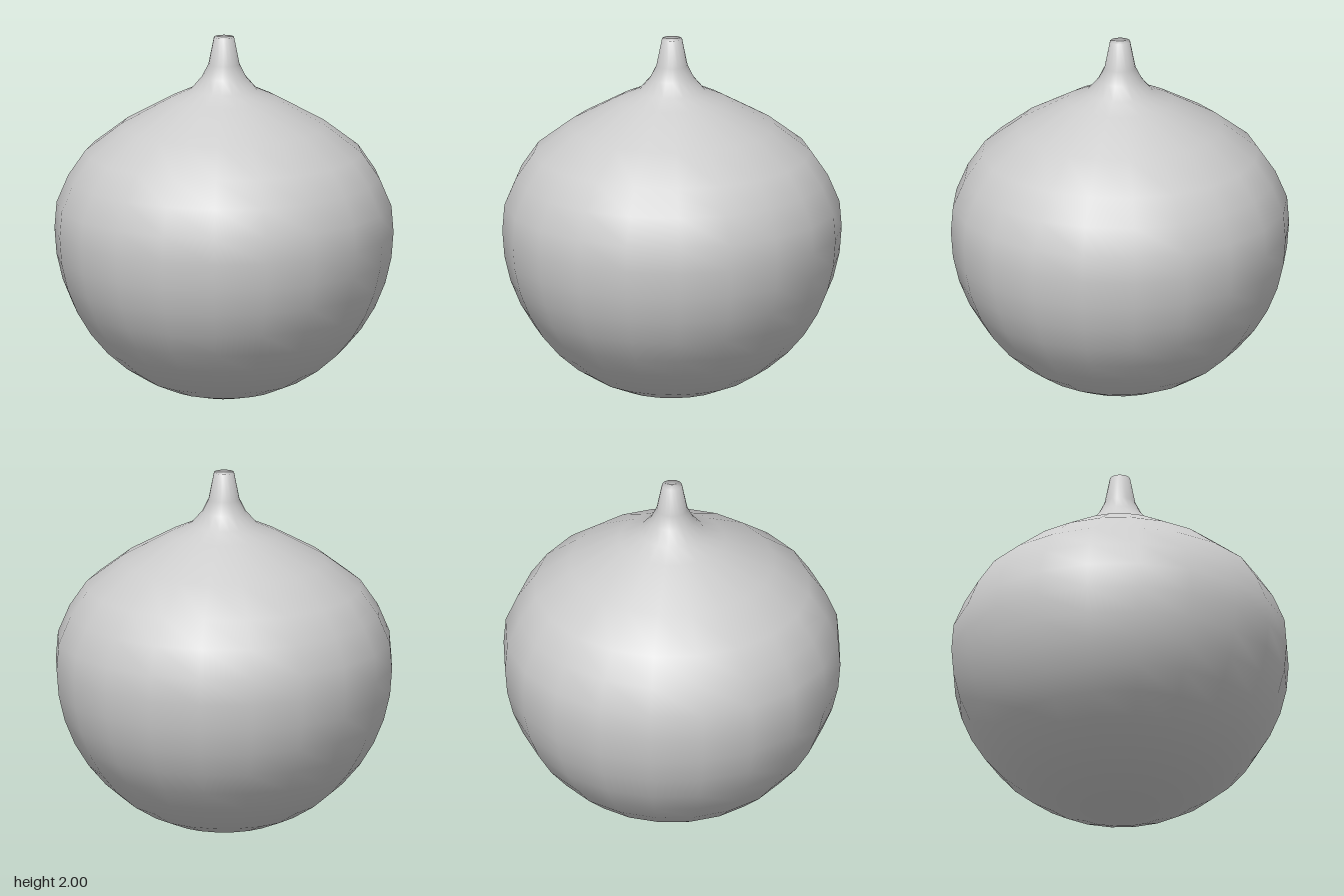
import * as THREE from 'three';

export function createModel() {
  const group = new THREE.Group();
  const material = new THREE.MeshStandardMaterial({ color: 0xcccccc });
  const R = 0.925;
  const profile = [];

  // Lower bulb: spherical arc from the bottom pole to just above the equator
  for (let i = 0; i <= 11; i++) {
    const a = (i * Math.PI) / 20;
    profile.push(new THREE.Vector2(i ? R * Math.sin(a) : 0, R - R * Math.cos(a)));
  }

  // Shoulder sweeping up into the narrow, closed stem
  const upper = [
    [0.85, 1.22], [0.755, 1.36], [0.56, 1.51], [0.29, 1.66], [0.18, 1.71],
    [0.12, 1.78], [0.085, 1.85], [0.055, 2], [0, 2],
  ];
  upper.forEach(([r, y]) => profile.push(new THREE.Vector2(r, y)));

  const body = new THREE.Mesh(new THREE.LatheGeometry(profile, 20), material);
  body.name = 'bulbWithStem';
  group.add(body);
  return group;
}
